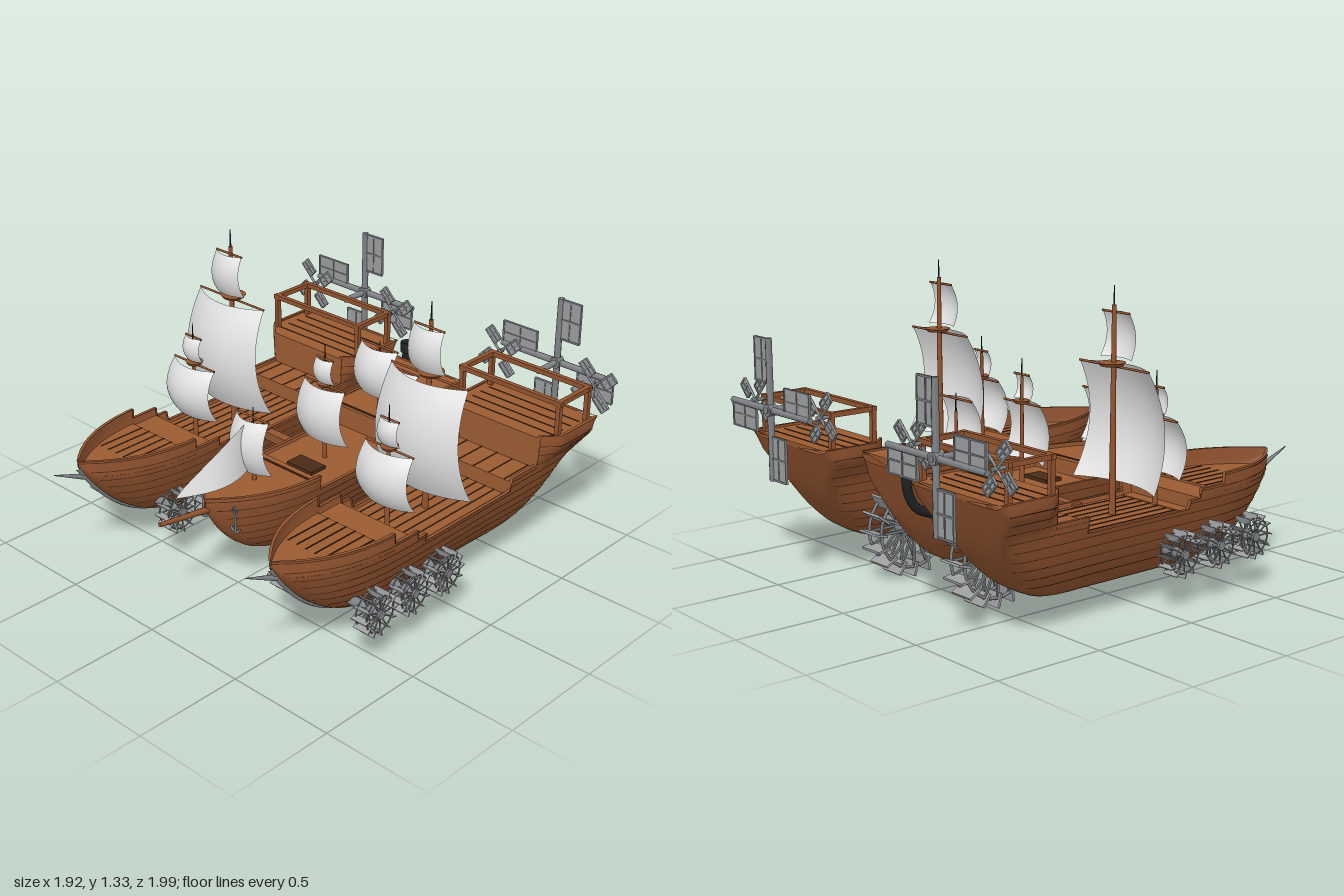
import * as THREE from 'three';

const mat = (name, color, side = THREE.FrontSide) => {
  const m = new THREE.MeshStandardMaterial({ color, side });
  m.name = name;
  return m;
};
const wood = mat('hull wood', 0x93542f, THREE.DoubleSide);
const deckWood = mat('deck wood', 0x9c5c33, THREE.DoubleSide);
const seam = mat('dark seam', 0x4a2a17, THREE.DoubleSide);
const canvas = mat('sail cloth', 0xe2e2e2, THREE.DoubleSide);
const metal = mat('grey metal', 0x808386);
const plate = mat('blade plate', 0x9b9d9f);
const black = mat('black iron', 0x1f2224);
const { lerp, clamp, smoothstep } = THREE.MathUtils;

const add = (parent, name, geo, material, x = 0, y = 0, z = 0) => {
  const m = new THREE.Mesh(geo, material);
  m.name = name;
  m.position.set(x, y, z);
  parent.add(m);
  return m;
};
const box = (p, name, m, w, h, d, x, y, z) => add(p, name, new THREE.BoxGeometry(w, h, d), m, x, y, z);
const group = (p, name, x = 0, y = 0, z = 0) => {
  const g = new THREE.Group();
  g.name = name;
  g.position.set(x, y, z);
  p.add(g);
  return g;
};
// Tapered rod between two points
function rod(p, name, m, a, b, r0, r1 = r0, sides = 10) {
  const A = new THREE.Vector3(...a), d = new THREE.Vector3(...b).sub(A);
  const o = add(p, name, new THREE.CylinderGeometry(r1, r0, d.length(), sides), m);
  o.position.copy(A).addScaledVector(d, 0.5);
  o.quaternion.setFromUnitVectors(new THREE.Vector3(0, 1, 0), d.normalize());
}
// Rows of points joined into a surface
function loft(rows) {
  const n = rows[0].length, index = [];
  for (let i = 0; i + 1 < rows.length; i++) for (let j = 0; j + 1 < n; j++) {
    const a = i * n + j, b = a + n;
    index.push(a, b, a + 1, a + 1, b, b + 1);
  }
  const g = new THREE.BufferGeometry();
  g.setAttribute('position', new THREE.Float32BufferAttribute(rows.flat(2), 3));
  g.setIndex(index);
  g.computeVertexNormals();
  return g;
}

// Hull rules; each deck is: front z, back z, rail height, deck height
const outerHull = {
  bow: 0.87, bowStart: 0.2, bowRise: 0.385, bowCurve: 2.8, bowTaper: 3.3,
  stern: -0.88, sternStart: -0.25, sternRise: 0.48, sternCurve: 3.6, flare: 0.075,
  decks: [[0.87, 0.38, 0.525, 0.45], [0.38, 0.24, 0.48, 0.44], [0.24, 0.18, 0.44, 0.385],
    [0.18, -0.38, 0.4, 0.38], [-0.38, -0.55, 0.47, 0.45], [-0.55, -0.88, 0.612, 0.6]],
};
const middleHull = {
  bow: 0.67, bowStart: 0.1, bowRise: 0.33, bowCurve: 3.4, bowTaper: 2.8,
  stern: -0.75, sternStart: -0.3, sternRise: 0.46, sternCurve: 3.3, flare: 0,
  decks: [[0.67, 0.19, 0.487, 0.467], [0.19, -0.34, 0.42, 0.4], [-0.34, -0.53, 0.51, 0.5], [-0.53, -0.75, 0.61, 0.6]],
};
const along = (z, from, to) => clamp((z - from) / (to - from), 0, 1);
const keelAt = (h, z) => 0.11 + h.bowRise * Math.pow(along(z, h.bowStart, h.bow), h.bowCurve)
  + h.sternRise * Math.pow(along(z, h.sternStart, h.stern), h.sternCurve);
function halfWidth(h, z, y) {
  const keel = keelAt(h, z);
  const beam = 0.004 + 0.212 * (1 - Math.pow(along(z, h.bowStart, h.bow), h.bowTaper));
  const fullness = 0.4 - 0.3 * Math.pow(along(z, h.sternStart, h.stern), 1.5);
  const t = clamp((y - keel) / (Math.max(0.45, keel + 0.02) - keel), 0, 1);
  return beam * Math.pow(t, fullness) + h.flare * along(z, -0.54, -0.62) * smoothstep(y, 0.44, 0.57);
}

function buildHull(p, h) {
  const M = 14, stations = [];
  for (const [z0, z1, rail, deck] of h.decks) {
    const n = Math.ceil((z0 - z1) / 0.035);
    for (let i = 0; i <= n; i++) {
      const z = lerp(z0, z1, i / n), keel = keelAt(h, z);
      stations.push({ z, keel, rail, deck: Math.max(deck, keel + 0.005) });
    }
  }
  add(p, 'hull', loft(stations.map(({ z, keel, rail }) => {
    const row = [];
    for (let j = -M; j <= M; j++) {
      const t = Math.abs(j) / M, y = lerp(keel, rail, t * t * (1.6 - 0.6 * t));
      row.push([-Math.sign(j) * halfWidth(h, z, y), y, z]);
    }
    return row;
  })), wood);
  const span = (z, y) => [-1, 1].map(k => [k * halfWidth(h, z, y), y, z]);
  const deck = loft(stations.map(s => span(s.z, s.deck))).toNonIndexed();
  deck.computeVertexNormals();
  add(p, 'deck', deck, deckWood);
  const end = stations[stations.length - 1];
  add(p, 'transom', loft([end.keel, end.rail].map(y => span(end.z, y))), wood);
  for (const k of [-1, 1]) {
    add(p, 'rail', loft(stations.map(({ z, rail }) => {
      const w = halfWidth(h, z, rail);
      return [w + 0.004, Math.max(0, w - 0.012)].map(x => [k * x, rail + 0.002, z]).sort((a, b) => a[0] - b[0]);
    })), wood);
    // Plank lines along the side
    for (let y = 0.2; y < 0.6; y += 0.045) {
      let run = [];
      const flush = () => {
        if (run.length > 1) add(p, 'side plank line', loft(run), seam);
        run = [];
      };
      for (const { z, keel, rail } of stations) {
        if (y > keel + 0.015 && y < rail - 0.005)
          run.push([0, 0.004].map(d => [k * (halfWidth(h, z, y + d) + 0.003), y + d, z]));
        else flush();
      }
      flush();
    }
  }
}
// Lengthwise lines between deck planks
function deckSeams(p, z0, z1, y, w, n) {
  for (let i = 0; i < n; i++)
    box(p, 'deck seam', seam, 0.005, 0.004, z0 - z1, lerp(-w, w, i / (n - 1)), y + 0.001, (z0 + z1) / 2);
}

// Square sail bowed forward, with its yard
function sail(p, y0, y1, top, bottom, depth, z) {
  const g = new THREE.PlaneGeometry(2, 2, 14, 14), q = g.attributes.position;
  for (let i = 0; i < q.count; i++) {
    const u = q.getX(i), v = q.getY(i), t = (v + 1) / 2;
    q.setXYZ(i, u * lerp(bottom, top, t), lerp(y0, y1, t), depth * (1 - 0.5 * u * u - 0.5 * v * v));
  }
  g.computeVertexNormals();
  add(p, 'sail', g, canvas, 0, 0, z);
  rod(p, 'yard', wood, [-top, y1, z], [top, y1, z], 0.005);
}
function mast(p, z, y0, y1, r) {
  const ySpike = y1 - 0.08;
  rod(p, 'mast', wood, [0, y0, z], [0, ySpike, z], r, r * 0.6);
  rod(p, 'mast spike', black, [0, ySpike, z], [0, y1, z], 0.004, 0.002, 6);
}
const nest = (p, y, z, r) => add(p, 'crow nest', new THREE.CylinderGeometry(r, r * 0.8, 0.014, 18), wood, 0, y, z);

// Paddle wheel turning about x
function paddleWheel(p, x, y, z, r, width, n) {
  const g = group(p, 'paddleWheel', x, y, z);
  for (const k of [-1, 1])
    add(g, 'rim', new THREE.TorusGeometry(r * 0.8, r * 0.035, 6, 28), metal, k * width * 0.36).rotation.y = Math.PI / 2;
  rod(g, 'hub', metal, [-width / 2, 0, 0], [width / 2, 0, 0], r * 0.2);
  for (let i = 0; i < n; i++) {
    const arm = group(g, 'paddle arm');
    arm.rotation.x = i / n * Math.PI * 2;
    box(arm, 'paddle', plate, width, r * 0.3, r * 0.05, 0, r * 0.84, 0).rotation.x = 0.25;
    for (const k of [-1, 1]) box(arm, 'spoke', metal, r * 0.05, r * 0.8, r * 0.05, k * width * 0.36, r * 0.4, 0);
  }
}
// Windmill facing along z, each blade set to one side of its spar
function windmill(p, x, y, z, r, w, spar, turn) {
  const g = group(p, 'windmill', x, y, z);
  for (let i = 0; i < 4; i++) {
    const arm = group(g, 'windmill arm');
    arm.rotation.z = turn + i * Math.PI / 2;
    rod(arm, 'spar', metal, [0, 0, 0], [0, r, 0], spar, spar * 0.9, 8);
    box(arm, 'blade', plate, w, r * 0.62, 0.006, w / 2, r * 0.68, 0);
    for (let j = 0; j < 3; j++) box(arm, 'blade batten', metal, w, 0.008, 0.012, w / 2, r * (0.38 + 0.3 * j), 0);
    for (const k of [0.5, 1]) box(arm, 'blade edge', metal, 0.006, r * 0.62, 0.012, w * k, r * 0.68, 0);
  }
  add(g, 'windmill hub', new THREE.CylinderGeometry(spar * 1.7, spar * 1.7, 0.04, 12), metal).rotation.x = Math.PI / 2;
}

function outerShip(root, x) {
  const s = group(root, 'outerShip', x);
  buildHull(s, outerHull);
  deckSeams(s, 0.62, 0.38, 0.45, 0.15, 7);
  deckSeams(s, 0.18, -0.38, 0.38, 0.17, 8);
  deckSeams(s, -0.38, -0.55, 0.45, 0.17, 5);
  for (let i = 0; i < 4; i++) box(s, 'castle seam', seam, 0.5, 0.004, 0.005, 0, 0.601, -0.62 - 0.06 * i);
  // Masts and sails
  mast(s, -0.06, 0.37, 1.33, 0.015);
  sail(s, 0.5, 1.0, 0.205, 0.245, 0.15, -0.06);
  sail(s, 1.03, 1.22, 0.08, 0.092, 0.06, -0.05);
  nest(s, 1.01, -0.07, 0.058);
  mast(s, 0.185, 0.37, 0.955, 0.012);
  sail(s, 0.51, 0.755, 0.13, 0.147, 0.1, 0.18);
  sail(s, 0.775, 0.887, 0.05, 0.056, 0.04, 0.18);
  nest(s, 0.762, 0.18, 0.04);
  // Metal stem and ram
  const stem = [];
  for (let z = 0.38; z < 0.88; z += 0.07) stem.push(new THREE.Vector3(0, keelAt(outerHull, z), z + 0.003));
  add(s, 'stem', new THREE.TubeGeometry(new THREE.CatmullRomCurve3(stem), 20, 0.011, 8), metal);
  rod(s, 'ram', metal, [0, 0.44, 0.84], [0, 0.51, 1.0], 0.014, 0.002);
  // Frame over the stern castle
  for (const z of [-0.62, -0.83]) {
    box(s, 'frame bar', wood, 0.56, 0.022, 0.022, 0, 0.758, z);
    for (const k of [-1, 1]) box(s, 'frame post', wood, 0.022, 0.16, 0.022, k * 0.265, 0.68, z);
  }
  for (const k of [-1, 1]) {
    box(s, 'frame side', wood, 0.022, 0.022, 0.23, k * 0.265, 0.758, -0.725);
    windmill(s, k * 0.26, 0.75, -0.88, 0.12, 0.045, 0.006, Math.PI / 4);
    rod(s, 'small axle', metal, [k * 0.26, 0.75, -0.82], [k * 0.26, 0.75, -0.89], 0.008);
    // Paddle wheels along the bow
    for (const z of [0.52, 0.31, 0.1]) {
      paddleWheel(s, k * 0.235, 0.235, z, 0.1, 0.08, 12);
      rod(s, 'wheel axle', metal, [k * 0.09, 0.235, z], [k * 0.24, 0.235, z], 0.022);
    }
  }
  rod(s, 'windmill axle', metal, [0, 0.755, -0.82], [0, 0.755, -0.985], 0.014);
  windmill(s, 0, 0.755, -0.962, 0.31, 0.11, 0.016, 0);
}

function middleShip(root, x) {
  const s = group(root, 'middleShip', x);
  buildHull(s, middleHull);
  for (const [z, y] of [[0.225, 0.468], [-0.36, 0.501], [-0.55, 0.601]]) box(s, 'deck edge line', seam, 0.41, 0.006, 0.01, 0, y, z);
  box(s, 'hatch', seam, 0.15, 0.02, 0.09, 0, 0.405, 0.06);
  // Masts and sails
  for (const [z, top, y0, y1, w] of [[0.38, 0.81, 0.52, 0.765, 0.11], [-0.06, 0.955, 0.5, 0.76, 0.14], [-0.42, 0.85, 0.59, 0.825, 0.125]]) {
    mast(s, z, 0.4, top, 0.011);
    sail(s, y0, y1, w * 0.86, w, 0.09, z);
  }
  sail(s, 0.775, 0.885, 0.05, 0.056, 0.04, -0.06);
  nest(s, 0.765, -0.06, 0.038);
  sail(s, 0.61, 0.65, 0.1, 0.1, 0.04, -0.58);
  // Jib bellied to one side
  const rows = [];
  for (let i = 0; i <= 10; i++) {
    const t = i / 10, row = [];
    for (let j = 0; j <= 8; j++) {
      const v = j / 8, low = 0.555 - 0.025 * t, high = 0.555 + 0.21 * Math.pow(t, 0.8);
      row.push([0.06 * Math.sin(Math.PI * t) * (1 - v * 0.8), lerp(low, high, v), 0.83 - 0.43 * t]);
    }
    rows.push(row);
  }
  add(s, 'jib', loft(rows), canvas);
  rod(s, 'bowsprit', wood, [0, 0.42, 0.58], [0, 0.47, 0.92], 0.016, 0.009);
  // Anchors on the bow
  for (const k of [-1, 1]) {
    const a = group(s, 'anchor', k * 0.098, 0.39, 0.59);
    rod(a, 'anchor shank', metal, [0, -0.055, 0], [0, 0.04, 0], 0.005);
    add(a, 'anchor ring', new THREE.TorusGeometry(0.012, 0.004, 6, 14), metal, 0, 0.05, 0);
    add(a, 'anchor flukes', new THREE.TorusGeometry(0.025, 0.006, 6, 14, Math.PI), metal, 0, -0.03, 0).rotation.z = Math.PI;
  }
  // Bent chimney at the stern
  const bend = [[0.4, -0.66], [0.44, -0.75], [0.52, -0.795], [0.67, -0.8]].map(([y, z]) => new THREE.Vector3(-0.165, y, z));
  add(s, 'chimney', new THREE.TubeGeometry(new THREE.CatmullRomCurve3(bend), 20, 0.02, 12), black);
  add(s, 'chimney cap', new THREE.CylinderGeometry(0.028, 0.028, 0.05, 14), black, -0.165, 0.645, -0.8);
  // Big paddle wheels and cross beams to the outer ships
  for (const k of [-1, 1]) {
    paddleWheel(s, k * 0.29, 0.217, -0.47, 0.215, 0.125, 16);
    rod(s, 'big wheel axle', metal, [k * 0.15, 0.217, -0.47], [k * 0.43, 0.217, -0.47], 0.025);
    box(s, 'cross beam', wood, 0.22, 0.04, 0.045, k * 0.29, 0.37, -0.085);
  }
}

export function createModel() {
  const root = new THREE.Group();
  root.name = 'shipTrio';
  outerShip(root, -0.592);
  outerShip(root, 0.575);
  middleShip(root, -0.012);
  return root;
}
